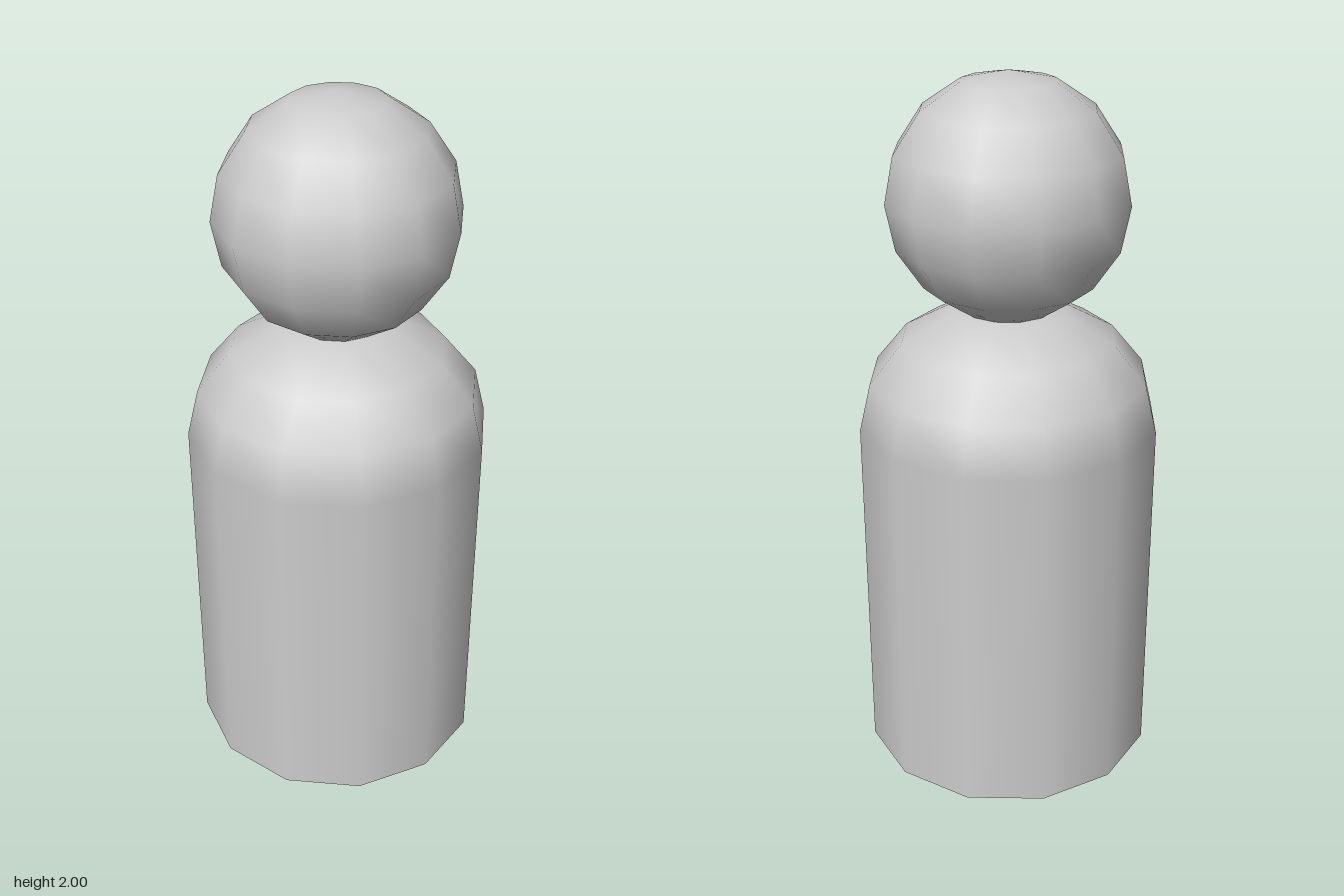
import * as THREE from 'three';

const SIDES = 12;
const BODY_RADIUS = 0.425;
const SHOULDER_Y = 1.03;
const HEAD_RADIUS = 1 / 3;

export function createModel() {
  const group = new THREE.Group();
  const material = new THREE.MeshStandardMaterial({ color: 0xcccccc, side: THREE.DoubleSide });

  const add = (name, geometry, y) => {
    const mesh = new THREE.Mesh(geometry, material);
    mesh.name = name;
    mesh.position.y = y;
    group.add(mesh);
  };

  // Hollow body wall, open underneath
  add('body', new THREE.CylinderGeometry(BODY_RADIUS, BODY_RADIUS, SHOULDER_Y, SIDES, 1, true), SHOULDER_Y / 2);

  // Slightly flattened half dome closing the body
  const dome = new THREE.SphereGeometry(BODY_RADIUS, SIDES, 4, 0, Math.PI * 2, 0, Math.PI / 2);
  dome.scale(1, 0.35 / BODY_RADIUS, 1);
  add('shoulders', dome, SHOULDER_Y);

  // Round head sunk a little into the shoulders
  add('head', new THREE.SphereGeometry(HEAD_RADIUS, SIDES, 8), 2 - HEAD_RADIUS);

  return group;
}
